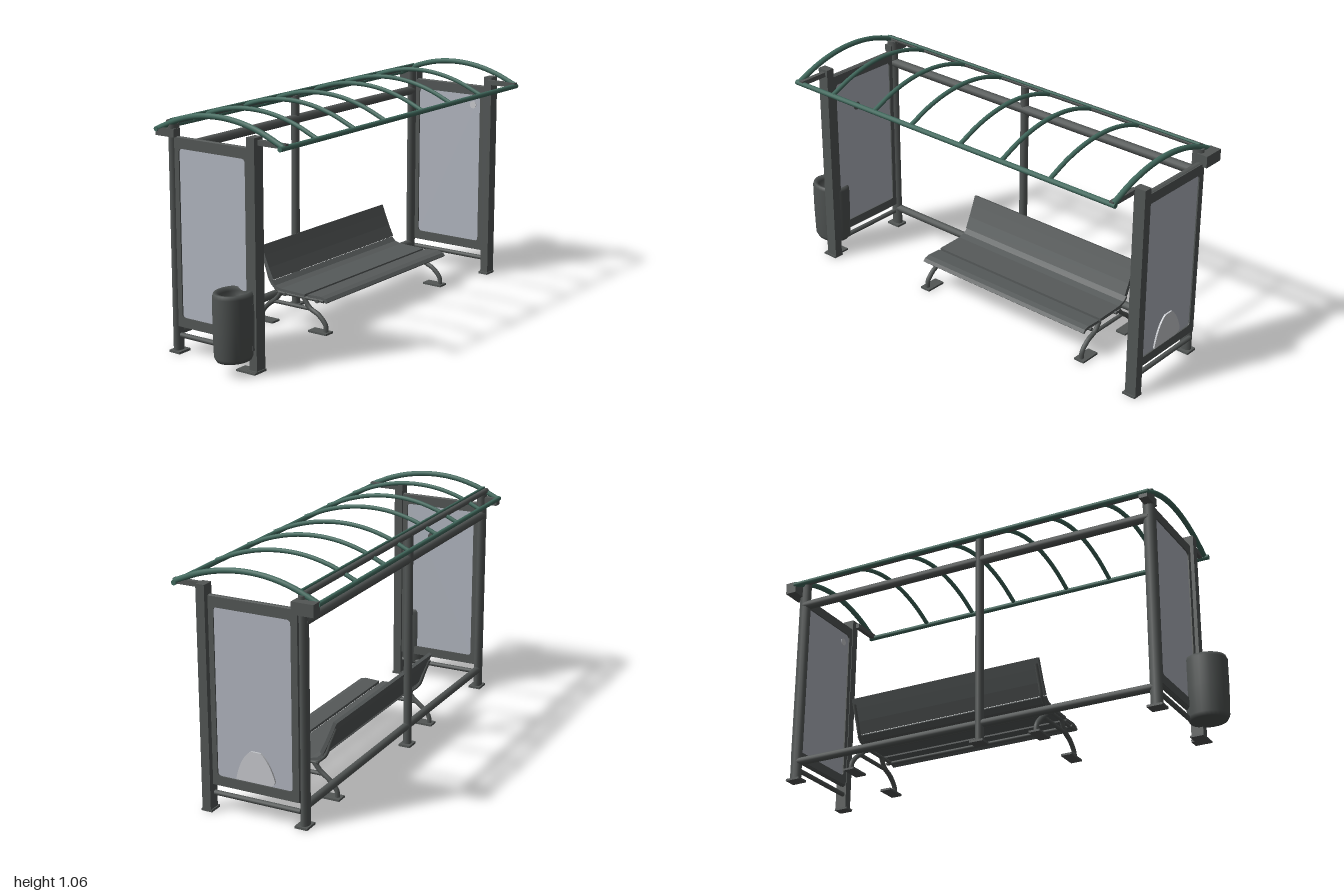
import * as THREE from 'three';

const mat = (name, color, side = THREE.FrontSide) => {
  const m = new THREE.MeshStandardMaterial({ color, side });
  m.name = name;
  return m;
};

export function createModel() {
  const root = new THREE.Group();
  root.name = 'busShelter';
  const steel = mat('darkSteel', 0x525655);
  const green = mat('greenPaint', 0x41695d);
  const slat = mat('benchGrey', 0x565a5a);
  const glass = mat('frostedGlass', 0xb0b4be);
  const pale = mat('paleGlass', 0xc6c8cc);
  const binGrey = mat('binGrey', 0x4e5251, THREE.DoubleSide);

  const V = (x, y, z) => new THREE.Vector3(x, y, z);
  const add = (name, geo, material, parent = root) => {
    const m = new THREE.Mesh(geo, material);
    m.name = name;
    parent.add(m);
    return m;
  };
  // Box given by its lower and upper corners
  const box = (name, material, a, b, parent) => {
    const m = add(name, new THREE.BoxGeometry(b[0] - a[0], b[1] - a[1], b[2] - a[2]), material, parent);
    m.position.set((a[0] + b[0]) / 2, (a[1] + b[1]) / 2, (a[2] + b[2]) / 2);
    return m;
  };
  // Round bar between two points
  const rod = (name, material, a, b, r, parent) => {
    const p = V(...a), q = V(...b), d = q.clone().sub(p);
    const m = add(name, new THREE.CylinderGeometry(r, r, d.length(), 12), material, parent);
    m.position.copy(p).add(q).multiplyScalar(0.5);
    m.quaternion.setFromUnitVectors(V(0, 1, 0), d.normalize());
    return m;
  };
  const bent = (name, material, pts, r, parent) =>
    add(name, new THREE.TubeGeometry(new THREE.CatmullRomCurve3(pts.map(p => V(...p))), 24, r, 8), material, parent);
  // Rounded rectangle in the side plane (u = -z)
  const roundRect = (path, u0, y0, u1, y1, r) => {
    path.moveTo(u0 + r, y0);
    path.lineTo(u1 - r, y0);
    path.quadraticCurveTo(u1, y0, u1, y0 + r);
    path.lineTo(u1, y1 - r);
    path.quadraticCurveTo(u1, y1, u1 - r, y1);
    path.lineTo(u0 + r, y1);
    path.quadraticCurveTo(u0, y1, u0, y1 - r);
    path.lineTo(u0, y0 + r);
    path.quadraticCurveTo(u0, y0, u0 + r, y0);
    return path;
  };
  // Side-plane shape extruded along x, starting at x0
  const sideExtrude = (name, shape, x0, x1, material, parent) => {
    const geo = new THREE.ExtrudeGeometry(shape, { depth: x1 - x0, bevelEnabled: false, curveSegments: 8 });
    geo.rotateY(Math.PI / 2).translate(x0, 0, 0);
    return add(name, geo, material, parent);
  };

  // End walls: posts, framed glass and low rails
  const endWall = (name, front, back, px) => {
    const g = new THREE.Group();
    g.name = name;
    root.add(g);
    box('frontPost', steel, [front[0], 0, 0.155], [front[1], 0.985, 0.195], g);
    const bx = (back[0] + back[1]) / 2;
    rod('backPost', steel, [bx, 0, -0.258], [bx, 0.99, -0.258], (back[1] - back[0]) / 2, g)
      .scale.z = 0.7;
    const frame = roundRect(new THREE.Shape(), -0.16, 0.118, 0.25, 0.935, 0.004);
    frame.holes.push(roundRect(new THREE.Path(), -0.132, 0.16, 0.22, 0.89, 0.018));
    sideExtrude('panelFrame', frame, px - 0.014, px + 0.014, steel, g);
    sideExtrude('glassPanel', roundRect(new THREE.Shape(), -0.134, 0.158, 0.222, 0.892, 0.018),
      px - 0.008, px + 0.008, glass, g);
    rod('topRail', steel, [px, 0.925, 0.16], [px, 0.925, -0.25], 0.014, g);
    rod('sillRail', steel, [px, 0.123, 0.16], [px, 0.123, -0.25], 0.01, g);
    rod('lowRail', steel, [px, 0.076, 0.16], [px, 0.076, -0.25], 0.011, g);
    box('roofArm', steel, [bx - 0.01, 0.952, 0.18], [bx + 0.01, 0.974, 0.335], g);
    box('backFoot', steel, [bx - 0.035, 0, -0.283], [bx + 0.035, 0.01, -0.225], g);
    box('frontFoot', steel, [front[0] - 0.01, 0, 0.15], [front[1], 0.01, 0.2], g);
    return g;
  };
  const rightEnd = endWall('leftEndWall', [0.945, 1.0], [0.91, 0.965], 0.962);
  box('roofBracket', steel, [0.945, 0.922, -0.335], [0.997, 0.975, -0.235], rightEnd);
  const otherEnd = endWall('rightEndWall', [-0.86, -0.805], [-0.855, -0.8], -0.83);
  box('roofBracket', steel, [-0.855, 0.935, -0.335], [-0.815, 0.97, -0.235], otherEnd);

  // Raised pale form low on the glass, and small round spots
  const lump = new THREE.Shape();
  lump.moveTo(-0.042, 0.165);
  lump.quadraticCurveTo(-0.02, 0.27, 0.03, 0.3);
  lump.lineTo(0.075, 0.3);
  lump.quadraticCurveTo(0.12, 0.26, 0.14, 0.19);
  lump.quadraticCurveTo(0.14, 0.165, 0.11, 0.165);
  lump.closePath();
  sideExtrude('raisedGlassForm', lump, 0.969, 0.978, pale, rightEnd);
  rod('darkSpot', steel, [-0.823, 0.74, 0.0], [-0.819, 0.74, 0.0], 0.02, otherEnd);
  rod('paleSpot', pale, [0.955, 0.84, 0.09], [0.951, 0.84, 0.09], 0.018, rightEnd);

  // Back frame
  const backFrame = new THREE.Group();
  backFrame.name = 'backFrame';
  root.add(backFrame);
  rod('backBeam', steel, [-0.83, 0.88, -0.258], [0.94, 0.88, -0.258], 0.021, backFrame);
  rod('backLowRail', steel, [-0.83, 0.092, -0.258], [0.94, 0.092, -0.258], 0.018, backFrame);
  rod('centrePost', steel, [-0.01, 0.005, -0.262], [-0.005, 0.99, -0.262], 0.019, backFrame);
  box('centreFoot', steel, [-0.04, 0, -0.29], [0.025, 0.01, -0.235], backFrame);
  rod('upperBeam', steel, [-0.85, 0.995, -0.268], [0.945, 0.995, -0.268], 0.013, backFrame);

  // Roof ribs and edge rails
  const roof = new THREE.Group();
  roof.name = 'roof';
  root.add(roof);
  const arch = [[0.33, 0.962], [0.22, 1.008], [0.11, 1.036], [0, 1.046], [-0.11, 1.038], [-0.22, 1.01], [-0.33, 0.962]];
  for (const x of [-0.845, -0.628, -0.37, -0.148, 0.136, 0.366, 0.622, 0.943]) {
    const end = x < -0.8 || x > 0.9;
    bent('roofRib', green, arch.map(([z, y]) => [x, y, z]), end ? 0.0125 : 0.01, roof);
  }
  rod('frontRoofRail', green, [-0.865, 0.957, 0.328], [0.955, 0.957, 0.328], 0.0115, roof);
  rod('backRoofRail', green, [-0.86, 0.962, -0.33], [0.955, 0.962, -0.33], 0.0105, roof);
  rod('innerRoofRail', green, [-0.85, 1.008, -0.255], [0.945, 1.008, -0.255], 0.006, roof);

  // Bench: bent planks from a [z, y] centre line
  const bench = new THREE.Group();
  bench.name = 'bench';
  root.add(bench);
  const plank = (name, line, t, x0, x1) => {
    const pts = line.map(([z, y]) => new THREE.Vector2(-z, y));
    const offset = (s) => pts.map((p, i) => {
      const d = pts[Math.min(i + 1, pts.length - 1)].clone().sub(pts[Math.max(i - 1, 0)]).normalize();
      return new THREE.Vector2(p.x - d.y * s, p.y + d.x * s);
    });
    const shape = new THREE.Shape([...offset(-t / 2), ...offset(t / 2).reverse()]);
    sideExtrude(name, shape, x0, x1, slat, bench);
  };
  plank('frontSeatPlank', [[0.122, 0.146], [0.112, 0.157], [0.09, 0.163], [0.018, 0.16]], 0.012, -0.285, 0.662);
  plank('rearSeatPlank', [[0.003, 0.16], [-0.13, 0.163], [-0.165, 0.172], [-0.185, 0.192]], 0.012, -0.29, 0.66);
  plank('backrest', [[-0.18, 0.198], [-0.205, 0.25], [-0.228, 0.305], [-0.245, 0.348]], 0.016, -0.287, 0.657);
  for (const z of [0.07, -0.11])
    rod('seatRail', steel, [-0.29, 0.145, z], [0.665, 0.145, z], 0.008, bench);
  for (const x of [-0.275, 0.645]) {
    bent('frontLeg', steel, [[x, 0.006, 0.112], [x, 0.04, 0.108], [x, 0.08, 0.07], [x, 0.105, 0.02], [x, 0.145, -0.01]], 0.011, bench);
    bent('rearLeg', steel, [[x, 0.006, -0.25], [x, 0.04, -0.245], [x, 0.08, -0.21], [x, 0.11, -0.17], [x, 0.145, -0.14]], 0.011, bench);
    rod('legBrace', steel, [x, 0.1, 0.035], [x, 0.1, -0.185], 0.009, bench);
    rod('seatBearer', steel, [x, 0.147, 0.1], [x, 0.147, -0.16], 0.008, bench);
    bent('backSupport', steel, [[x, 0.147, -0.15], [x, 0.19, -0.195], [x, 0.25, -0.218], [x, 0.32, -0.245]], 0.008, bench);
    for (const z of [0.08, -0.22]) box('benchFoot', steel, [x - 0.026, 0, z - 0.05], [x + 0.026, 0.009, z + 0.05], bench);
  }

  // Litter bin, open at the top
  const profile = [[0, 0.062], [0.082, 0.062], [0.092, 0.08], [0.096, 0.2], [0.096, 0.335], [0.09, 0.35],
    [0.075, 0.35], [0.066, 0.335], [0.064, 0.28], [0, 0.275]].map(p => new THREE.Vector2(...p));
  const bin = add('litterBin', new THREE.LatheGeometry(profile, 28), binGrey);
  bin.scale.z = 0.82;
  bin.position.set(-0.904, 0, 0.112);
  box('binBracket', steel, [-0.87, 0.1, 0.13], [-0.83, 0.3, 0.185]);
  box('binFoot', steel, [-0.88, 0, 0.1], [-0.82, 0.008, 0.2]);
  return root;
}
